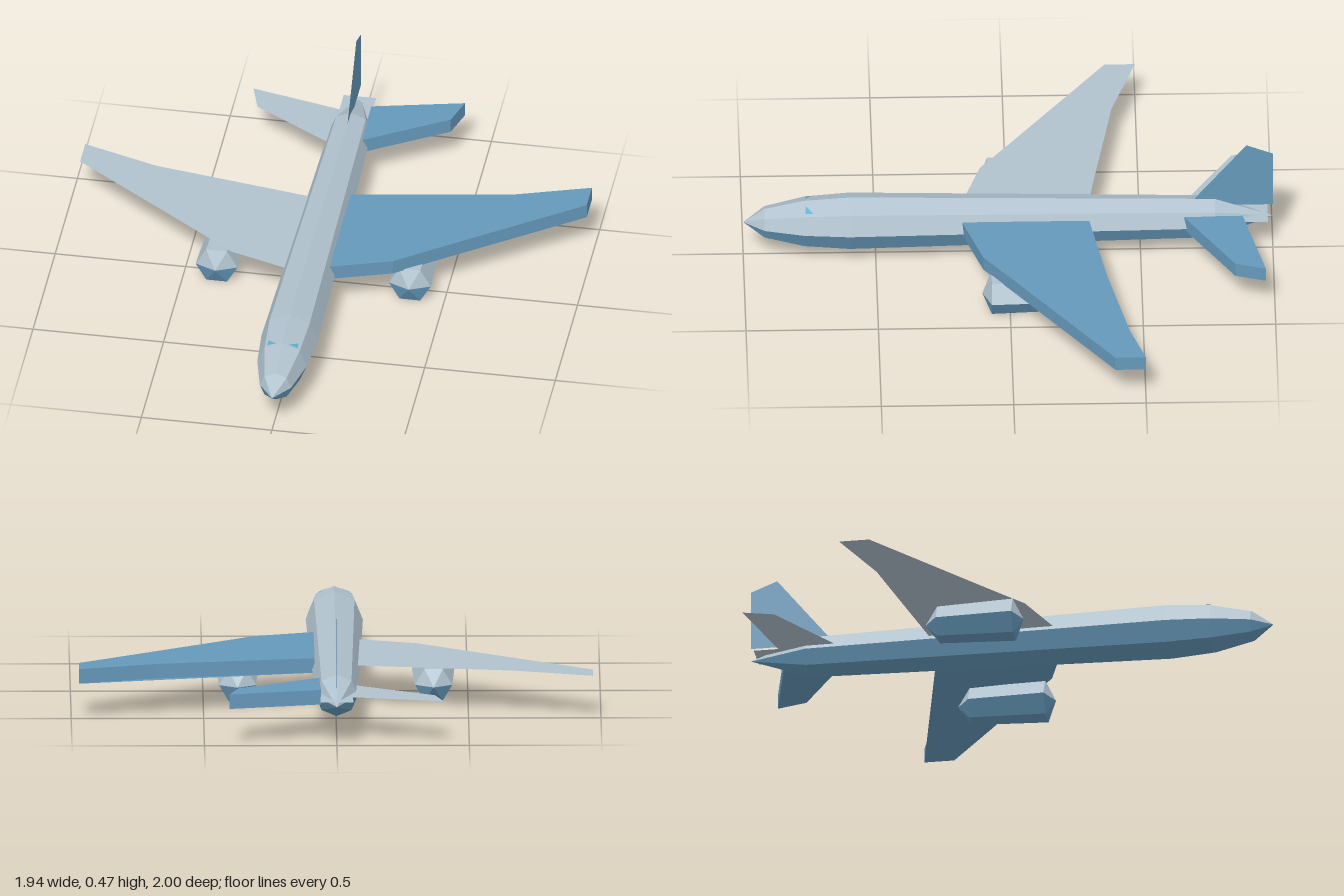
import * as THREE from 'three';

const make = (name, hex) => {
  const m = new THREE.MeshStandardMaterial({ color: hex, side: THREE.DoubleSide });
  m.name = name;
  return m;
};

// Flat facets
const facet = (g) => {
  const f = g.index ? g.toNonIndexed() : g;
  f.computeVertexNormals();
  return f;
};

const mesh = (name, geometry, material) => {
  const m = new THREE.Mesh(facet(geometry), material);
  m.name = name;
  return m;
};

// Half of a faceted spindle along z; profile holds [radius, z] from back to front
function halfHull(profile, sides, upper) {
  const pts = profile.map(([r, z]) => new THREE.Vector2(r, z));
  const start = upper ? Math.PI / 2 : -Math.PI / 2;
  return new THREE.LatheGeometry(pts, sides / 2, start, Math.PI).rotateX(Math.PI / 2);
}

// Horizontal outline given as [x, z]; thickness 0 gives a sheet
function plan(outline, y, thickness = 0, mirror = 1) {
  const shape = new THREE.Shape(outline.map(([x, z]) => new THREE.Vector2(x * mirror, -z)));
  const g = thickness
    ? new THREE.ExtrudeGeometry(shape, { depth: thickness, bevelEnabled: false })
    : new THREE.ShapeGeometry(shape);
  return g.rotateX(-Math.PI / 2).translate(0, y, 0);
}

export function createModel() {
  const model = new THREE.Group();
  model.name = 'airliner';
  const grey = make('pale grey', 0xb0c2ce);
  const blue = make('steel blue', 0x6699bb);
  const glass = make('window blue', 0x5fb0d0);

  const hull = (name, profile, sides, x, y) => {
    const group = new THREE.Group();
    group.name = name;
    group.add(
      mesh(name + 'Upper', halfHull(profile, sides, true), grey),
      mesh(name + 'Lower', halfHull(profile, sides, false), blue),
    );
    group.position.set(x, y, 0);
    model.add(group);
  };

  // Fuselage and engines: pale above, blue below
  const body = [[0, -1], [0.08, -0.78], [0.108, 0.6], [0.095, 0.77], [0.06, 0.92], [0, 1]];
  hull('fuselage', body, 8, 0, 0.148);
  const engine = [[0, -0.27], [0.07, -0.22], [0.08, 0.07], [0, 0.105]];
  hull('leftEngine', engine, 6, 0.37, 0.07);
  hull('rightEngine', engine, 6, -0.37, 0.07);

  // Wings and tailplanes: solid on the left, single sheets on the right
  const wing = [[0.08, -0.305], [0.68, -0.405], [0.97, -0.5], [0.97, -0.385],
    [0.45, -0.005], [0.31, 0.1], [0.08, 0.175]];
  const tail = [[0.06, -0.885], [0.405, -0.965], [0.37, -0.85], [0.06, -0.66]];
  model.add(
    mesh('leftWing', plan(wing, 0.135, 0.056), blue),
    mesh('leftTrailingPanel', plan([wing[0], wing[1], wing[2]], 0.135), blue),
    mesh('rightWing', plan(wing, 0.163, 0, -1), grey),
    mesh('leftTailplane', plan(tail, 0.135, 0.056), blue),
    mesh('rightTailplane', plan(tail, 0.163, 0, -1), grey),
    mesh('tailPlate', plan([[-0.062, -0.98], [0.062, -0.98], [0.062, -0.66], [-0.062, -0.66]], 0.163), grey),
  );

  // Upright fin, a single sheet on the centre line
  const fin = new THREE.Shape([[0.7, 0.225], [0.9, 0.475], [1, 0.435], [1, 0.2], [0.8, 0.2]]
    .map(([z, y]) => new THREE.Vector2(z, y)));
  model.add(mesh('fin', new THREE.ShapeGeometry(fin).rotateY(Math.PI / 2), blue));

  // Cockpit windows lying just above the top panels
  for (const side of [1, -1]) {
    const corners = [[0.025, 0.765], [0.058, 0.765], [0.058, 0.735]].map(([x, z]) => {
      const r = 0.095 + (0.77 - z) * 0.076;
      return new THREE.Vector3(x * side, 0.151 + r - 0.414 * x, z);
    });
    if (side < 0) corners.reverse();
    const name = side > 0 ? 'leftCockpitWindow' : 'rightCockpitWindow';
    model.add(mesh(name, new THREE.BufferGeometry().setFromPoints(corners), glass));
  }

  return model;
}
